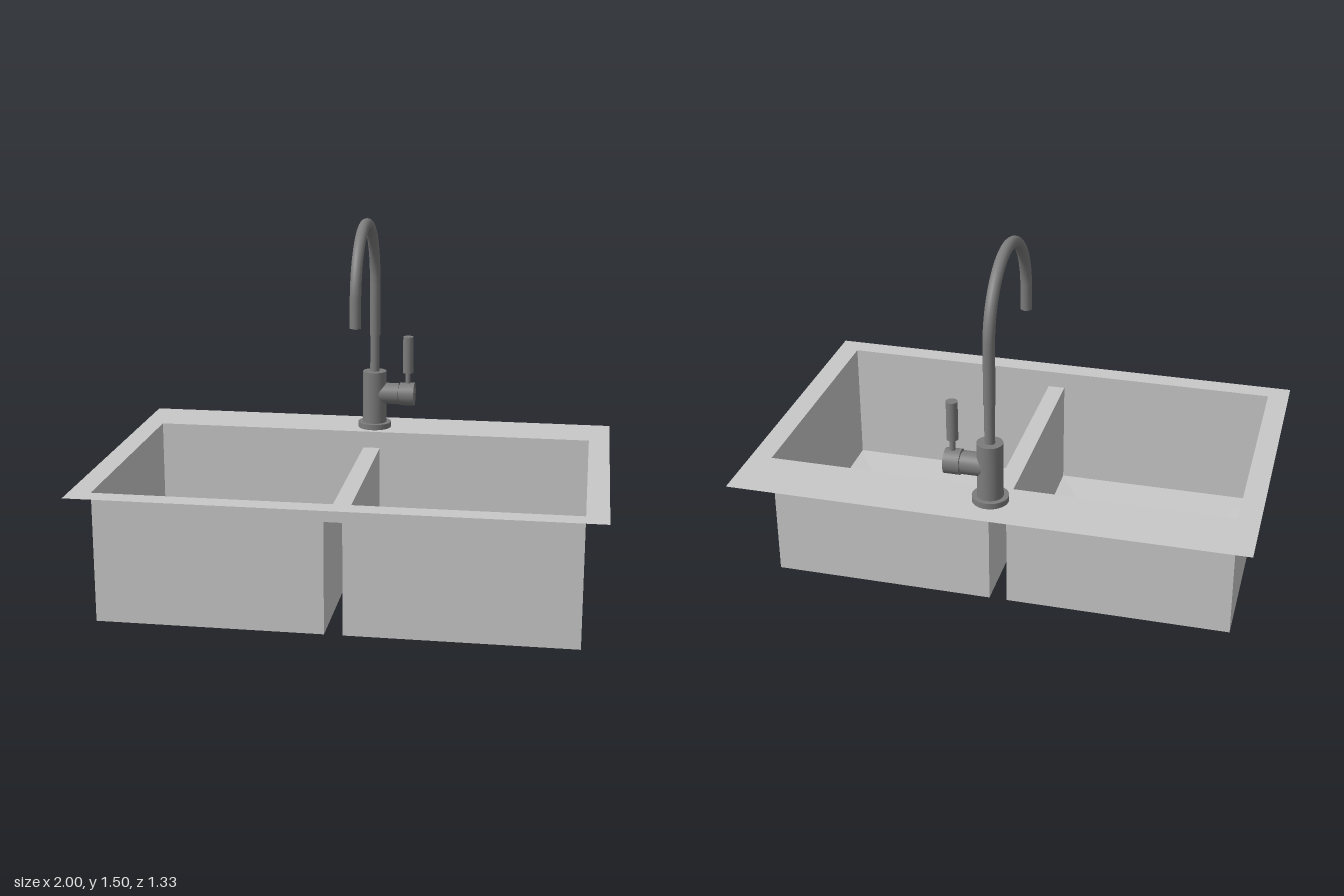
import * as THREE from 'three';

const DECK_Y = 0.565, DIVIDER_Y = 0.495, FLOOR_Y = 0.053;
const OUT_X = 0.915, IN_X = 0.035, BACK_Z = -0.417, FRONT_Z = 0.583;
const DRAIN_X = 0.475, DRAIN_Z = -0.095, DRAIN_R = 0.142, DRAIN_Y = 0.026;
const FAUCET_Z = -0.512;

export function createModel() {
  const model = new THREE.Group();
  const steel = new THREE.MeshStandardMaterial({ color: 0xc8c8c8, side: THREE.DoubleSide });
  steel.name = 'brushed steel';
  const dark = new THREE.MeshStandardMaterial({ color: 0x7c7c7c, side: THREE.DoubleSide });
  dark.name = 'dark metal';

  const add = (parent, name, geometry, material, x = 0, y = 0, z = 0) => {
    const mesh = new THREE.Mesh(geometry, material);
    mesh.name = name;
    mesh.position.set(x, y, z);
    parent.add(mesh);
    return mesh;
  };
  const polygon = (pts) => new THREE.Shape(pts.map(([x, y]) => new THREE.Vector2(x, y)));

  // Thin deck with one opening; shape y becomes -z
  const sink = new THREE.Group();
  sink.name = 'sink';
  model.add(sink);
  const deck = polygon([[-1, -0.665], [1, -0.665], [1, 0.665], [-1, 0.665]]);
  deck.holes.push(polygon([[-OUT_X, -FRONT_Z], [-OUT_X, -BACK_Z], [OUT_X, -BACK_Z], [OUT_X, -FRONT_Z]]));
  add(sink, 'deck', new THREE.ShapeGeometry(deck).rotateX(-Math.PI / 2), steel, 0, DECK_Y, 0);

  // Front and back walls, notched below the divider
  const wall = polygon([
    [-OUT_X, FLOOR_Y], [-IN_X, FLOOR_Y], [-IN_X, DIVIDER_Y], [IN_X, DIVIDER_Y],
    [IN_X, FLOOR_Y], [OUT_X, FLOOR_Y], [OUT_X, DECK_Y], [-OUT_X, DECK_Y],
  ]);
  add(sink, 'frontWall', new THREE.ShapeGeometry(wall), steel, 0, 0, FRONT_Z);
  add(sink, 'backWall', new THREE.ShapeGeometry(wall).rotateY(Math.PI), steel, 0, 0, BACK_Z);

  // Divider top between the bowls
  const depth = FRONT_Z - BACK_Z, midZ = (FRONT_Z + BACK_Z) / 2;
  add(sink, 'dividerTop', new THREE.PlaneGeometry(IN_X * 2, depth).rotateX(-Math.PI / 2),
    steel, 0, DIVIDER_Y, midZ);

  for (const side of [-1, 1]) {
    const bowl = new THREE.Group();
    bowl.name = side > 0 ? 'leftBowl' : 'rightBowl';
    sink.add(bowl);
    for (const [name, x, top] of [['outerWall', OUT_X, DECK_Y], ['dividerWall', IN_X, DIVIDER_Y]]) {
      const h = top - FLOOR_Y;
      add(bowl, name, new THREE.PlaneGeometry(depth, h).rotateY(side * Math.PI / 2),
        steel, side * x, FLOOR_Y + h / 2, midZ);
    }
    add(bowl, 'slopedFloor', floorGeometry(), steel, side * DRAIN_X, 0, DRAIN_Z);

    // Stepped drain cup and its strainer
    const cup = [[0.109, 0.002], [0.118, 0.009], [0.122, 0.014], [0.134, 0.016], [DRAIN_R, DRAIN_Y]];
    add(bowl, 'drainCup', new THREE.LatheGeometry(cup.map(([r, y]) => new THREE.Vector2(r, y)), 48),
      steel, side * DRAIN_X, 0, DRAIN_Z);
    add(bowl, 'strainer', new THREE.CylinderGeometry(0.11, 0.11, 0.008, 48),
      dark, side * DRAIN_X, 0.004, DRAIN_Z);
  }

  // Faucet base and body
  const faucet = new THREE.Group();
  faucet.name = 'faucet';
  faucet.position.z = FAUCET_Z;
  model.add(faucet);
  const post = (name, r, y0, y1, x = 0) =>
    add(faucet, name, new THREE.CylinderGeometry(r, r, y1 - y0, 32), dark, x, (y0 + y1) / 2, 0);
  post('baseFlange', 0.07, DECK_Y, 0.588);
  post('body', 0.05, 0.588, 0.81);
  post('spoutStem', 0.02, 0.81, 0.966);

  // Gooseneck: straight rise, half circle, short drop
  const R = 0.274, bendY = 1.2, path = new THREE.CurvePath();
  const v = (y, z) => new THREE.Vector3(0, y, z);
  const arc = [];
  for (let i = 0; i <= 24; i++) {
    const a = Math.PI * i / 24;
    arc.push(v(bendY + R * Math.sin(a), R - R * Math.cos(a)));
  }
  const end = v(1.108, 2 * R + 0.004);
  path.add(new THREE.LineCurve3(v(0.966, 0), v(bendY, 0)));
  path.add(new THREE.CatmullRomCurve3(arc));
  path.add(new THREE.LineCurve3(arc[24], end));
  add(faucet, 'gooseneck', new THREE.TubeGeometry(path, 80, 0.0225, 20), dark);
  add(faucet, 'spoutMouth', new THREE.CircleGeometry(0.0225, 20).rotateX(Math.PI / 2),
    dark, 0, end.y, end.z);
  add(faucet, 'stemCollar', new THREE.CircleGeometry(0.0225, 20).rotateX(Math.PI / 2), dark, 0, 0.966, 0);

  // Side valve and lever
  const valve = (name, r, x0, x1) =>
    add(faucet, name, new THREE.CylinderGeometry(r, r, x1 - x0, 32).rotateZ(Math.PI / 2),
      dark, (x0 + x1) / 2, 0.713, 0);
  valve('valveNeck', 0.045, 0.02, 0.104);
  valve('valveGroove', 0.038, 0.104, 0.11);
  valve('valveCap', 0.049, 0.11, 0.171);
  post('leverPin', 0.011, 0.75, 0.81, 0.143);
  post('lever', 0.022, 0.806, 0.963, 0.143);

  return model;
}

// Floor sloping from the bowl's rectangle to the drain circle
function floorGeometry() {
  const halfX = (OUT_X - IN_X) / 2, z0 = BACK_Z - DRAIN_Z, z1 = FRONT_Z - DRAIN_Z;
  const angles = [];
  for (let i = 0; i < 48; i++) angles.push(-Math.PI + (i + 0.5) * Math.PI / 24);
  for (const x of [-halfX, halfX]) for (const z of [z0, z1]) angles.push(Math.atan2(z, x));
  angles.sort((a, b) => a - b);
  const positions = [], index = [], n = angles.length;
  angles.forEach((a, i) => {
    const c = Math.cos(a), s = Math.sin(a);
    const reach = Math.min(halfX / Math.abs(c), (s < 0 ? z0 : z1) / s);
    positions.push(c * reach, FLOOR_Y, s * reach, c * DRAIN_R, DRAIN_Y, s * DRAIN_R);
    const p = 2 * i, q = 2 * ((i + 1) % n);
    index.push(p, p + 1, q, q, p + 1, q + 1);
  });
  const geometry = new THREE.BufferGeometry();
  geometry.setAttribute('position', new THREE.Float32BufferAttribute(positions, 3));
  geometry.setIndex(index);
  geometry.computeVertexNormals();
  return geometry;
}
